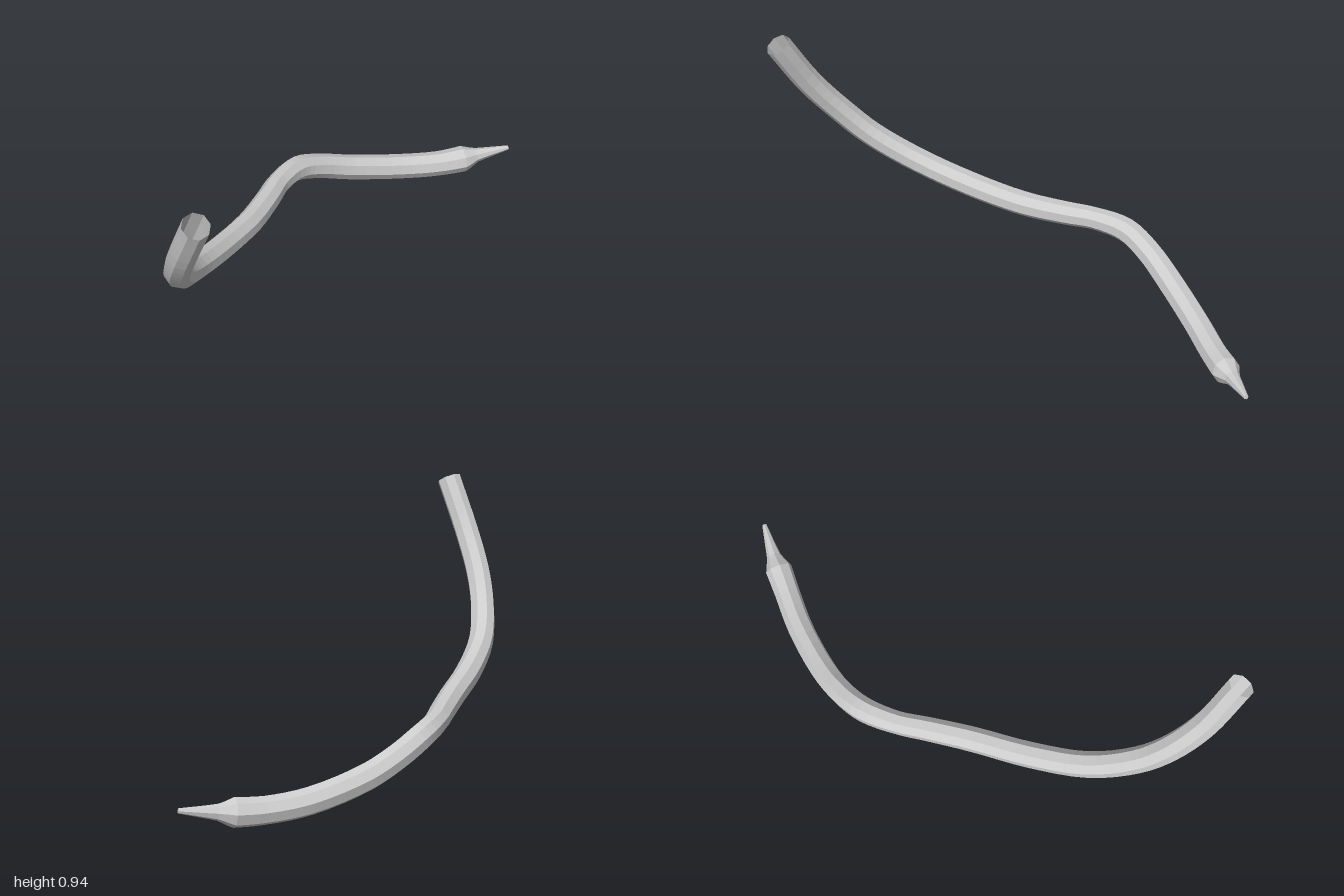
import * as THREE from 'three';

const SIDES = 8;
const STEPS = 4; // rings per control point

// Centreline with radius: x, y, z, r
const path = [
  [0.367, 0.917, 0.95, 0.049], [0.25, 0.715, 0.92, 0.049], [0.15, 0.57, 0.865, 0.049],
  [0.07, 0.46, 0.79, 0.049], [-0.03, 0.355, 0.65, 0.049], [-0.12, 0.285, 0.45, 0.049],
  [-0.2, 0.247, 0.24, 0.048], [-0.275, 0.235, 0.08, 0.046], [-0.325, 0.231, -0.02, 0.044],
  [-0.362, 0.216, -0.15, 0.048], [-0.355, 0.172, -0.27, 0.049], [-0.32, 0.12, -0.4, 0.05],
  [-0.235, 0.068, -0.6, 0.05], [-0.155, 0.054, -0.74, 0.05], [-0.1, 0.06, -0.835, 0.053],
  [-0.072, 0.068, -0.885, 0.029], [0, 0.087, -0.997, 0.009],
];
const JOINT = 8, TIP = 14; // control points where the parts meet

// Rings of points along the path, carried forward without twist
function makeRings() {
  const curve = new THREE.CatmullRomCurve3(path.map(p => new THREE.Vector3(p[0], p[1], p[2])));
  const last = path.length - 1, rings = [];
  const normal = new THREE.Vector3(0, 0, 1);
  for (let i = 0; i <= last * STEPS; i++) {
    const t = i / (last * STEPS), k = Math.min(Math.floor(i / STEPS), last - 1);
    const r = THREE.MathUtils.lerp(path[k][3], path[k + 1][3], i / STEPS - k);
    const centre = curve.getPoint(t), tangent = curve.getTangent(t);
    normal.addScaledVector(tangent, -normal.dot(tangent)).normalize();
    const side = new THREE.Vector3().crossVectors(tangent, normal);
    rings.push(Array.from({ length: SIDES }, (_, j) => {
      const a = ((j + 0.5) / SIDES) * Math.PI * 2;
      return centre.clone().addScaledVector(normal, r * Math.cos(a)).addScaledVector(side, r * Math.sin(a));
    }));
  }
  return rings;
}

// Skin a run of rings, optionally closing the far end
function skin(name, rings, capEnd, material) {
  const index = [], n = rings.length - 1;
  for (let i = 0; i < n; i++) {
    for (let j = 0; j < SIDES; j++) {
      const a = i * SIDES + j, b = i * SIDES + ((j + 1) % SIDES);
      index.push(a, b, a + SIDES, b, b + SIDES, a + SIDES);
    }
  }
  if (capEnd) {
    for (let j = 1; j < SIDES - 1; j++) index.push(n * SIDES, n * SIDES + j, n * SIDES + j + 1);
  }
  const geometry = new THREE.BufferGeometry().setFromPoints(rings.flat());
  geometry.setIndex(index);
  geometry.computeVertexNormals();
  const mesh = new THREE.Mesh(geometry, material);
  mesh.name = name;
  return mesh;
}

export function createModel() {
  const group = new THREE.Group();
  group.name = 'curvedStalk';
  const material = new THREE.MeshStandardMaterial({
    color: 0xcccccc, flatShading: true, side: THREE.DoubleSide,
  });
  const rings = makeRings();
  // Open-ended rising limb, tail, and pointed tip
  group.add(skin('upperLimb', rings.slice(0, JOINT * STEPS + 1), false, material));
  group.add(skin('tail', rings.slice(JOINT * STEPS, TIP * STEPS + 1), false, material));
  group.add(skin('tip', rings.slice(TIP * STEPS), true, material));
  return group;
}
